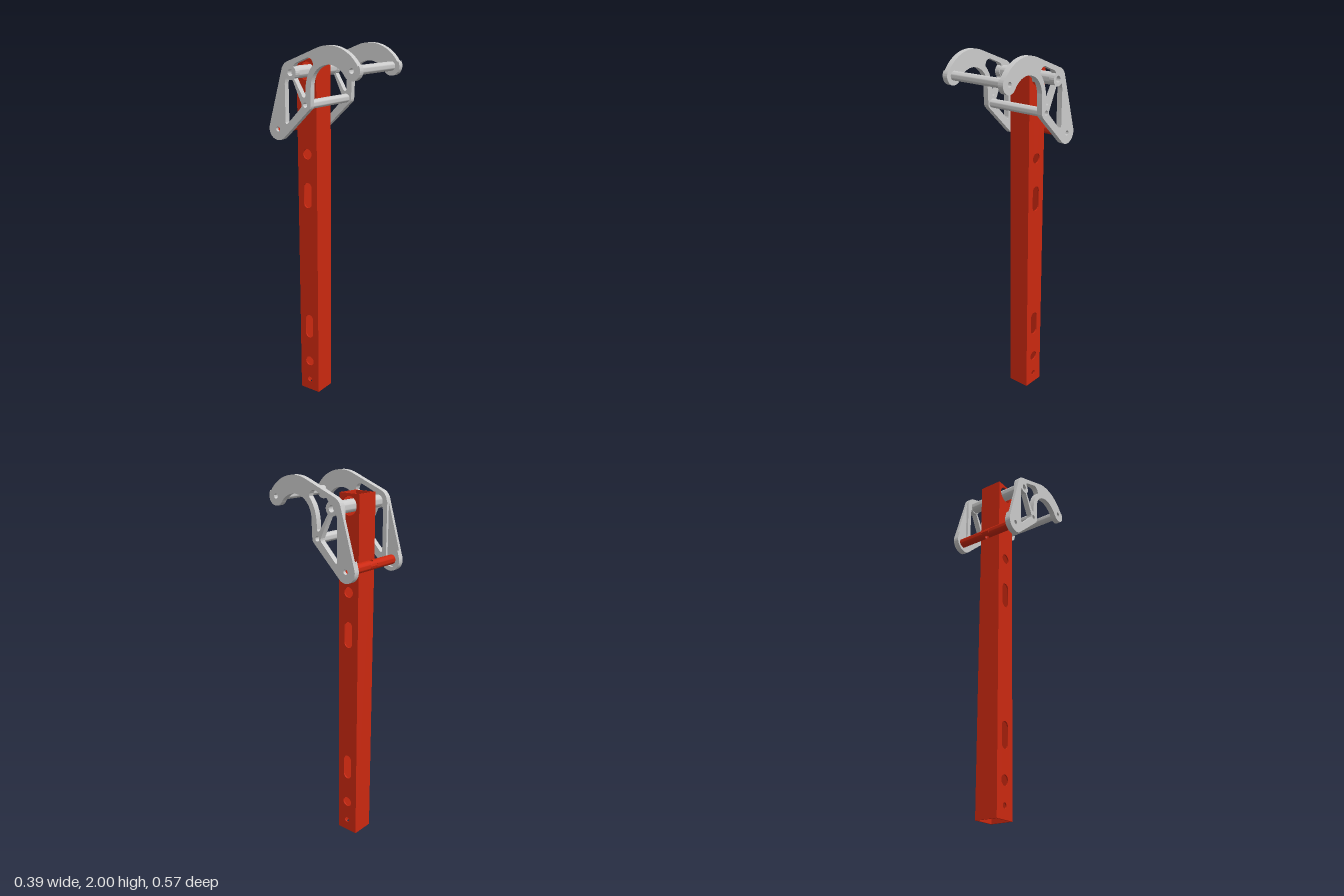
import * as THREE from 'three';
import { toCreasedNormals } from 'three/addons/utils/BufferGeometryUtils.js';
import { ParametricGeometry } from 'three/addons/geometries/ParametricGeometry.js';

const grey = new THREE.MeshStandardMaterial({ color: 0xcccccc, side: THREE.DoubleSide });
const red = new THREE.MeshStandardMaterial({ color: 0xcc2810, side: THREE.DoubleSide });

// Profile coordinates: first = distance to the back (-z), second = height (y)
const HOOK = [-0.103, 1.8], TIP = [-0.235, 1.887], PIVOT = [0.1365, 1.86];
const MID = [0.044, 1.706], FOOT = [0.225, 1.569];
const BORE = 0.013;

function mesh(name, geometry, material) {
  const m = new THREE.Mesh(geometry, material);
  m.name = name;
  return m;
}

// Extrude a side profile between x0 and x1
function slab(name, shape, x0, x1, material) {
  const g = new THREE.ExtrudeGeometry(shape, { depth: x1 - x0, bevelEnabled: false, curveSegments: 28 });
  g.rotateY(Math.PI / 2).translate(x0, 0, 0);
  return mesh(name, toCreasedNormals(g, 0.5), material);
}

function circle([x, y], r) {
  return new THREE.Path().absarc(x, y, r, 0, Math.PI * 2, false);
}

function slot(x, y0, y1, r) {
  return new THREE.Path().absarc(x, y1 - r, r, 0, Math.PI, false)
    .absarc(x, y0 + r, r, Math.PI, Math.PI * 2, false).closePath();
}

// Hook plate profile; the inner layer has an upright slot round the red rod
function plateShape(recessed) {
  const s = new THREE.Shape(), tipAngle = 2.559;
  s.absarc(...HOOK, 0.2, tipAngle, 1.21, true);
  s.absarc(...PIVOT, 0.058, 1.21, 0.288, true);
  if (recessed) {
    s.lineTo(0.198, 1.857);
    s.absarc(0.234, 1.569, 0.036, Math.PI, Math.PI * 2, false);
    s.lineTo(0.27, 1.622);
  }
  s.absarc(...FOOT, 0.058, 0.288, -2.34, true);
  s.absarc(...MID, 0.033, -2.34, -Math.PI, true);
  s.absarc(...HOOK, 0.11, 0, tipAngle, false);
  s.absarc(...TIP, 0.048, tipAngle + Math.PI, tipAngle, true);

  // Window beside the hook, and window below the pivot
  const upper = new THREE.Path();
  upper.moveTo(-0.008, 1.905);
  upper.quadraticCurveTo(-0.004, 1.94, 0.03, 1.938);
  upper.lineTo(0.108, 1.906);
  upper.absarc(...PIVOT, 0.036, 2.1, 4.0, false);
  upper.lineTo(0.062, 1.75);
  upper.quadraticCurveTo(0.05, 1.735, 0.042, 1.75);
  upper.quadraticCurveTo(0.045, 1.85, -0.008, 1.905);
  const lower = new THREE.Path();
  lower.absarc(...PIVOT, 0.036, -1.95, -0.7, false);
  lower.quadraticCurveTo(0.173, 1.82, 0.173, 1.8);
  lower.lineTo(0.173, 1.61);
  lower.quadraticCurveTo(0.17, 1.595, 0.158, 1.604);
  lower.lineTo(0.072, 1.69);
  lower.quadraticCurveTo(0.063, 1.7, 0.069, 1.714);
  lower.closePath();

  s.holes.push(upper, lower, circle(TIP, BORE), circle(PIVOT, 0.017), circle(MID, BORE));
  if (!recessed) s.holes.push(circle(FOOT, BORE));
  return s;
}

// Rod along x, hollow when a bore is given
function rod(name, [back, y], r, x0, x1, bore, material) {
  const profile = [[bore, x0], [r, x0], [r, x1], [bore, x1]];
  if (bore > 0) profile.push([bore, x0]);
  const g = new THREE.LatheGeometry(profile.map(p => new THREE.Vector2(...p)), 40);
  g.rotateZ(-Math.PI / 2);
  const m = mesh(name, toCreasedNormals(g, 0.5), material);
  m.position.set(0, y, -back);
  return m;
}

// Half of a rod's middle section with a drilled vertical hole
function drilledHalf(R, bore) {
  const rows = 8;
  const g = new ParametricGeometry((u, v, p) => {
    const a = u * Math.PI * 2, c = Math.cos(a), s = Math.sin(a);
    const k = Math.round(v * rows), t = Math.max(0, (k - 1) / (rows - 1));
    const edge = R / Math.max(Math.abs(c), Math.abs(s));
    const d = bore + (edge - bore) * t, z = d * s;
    const r = k === 0 ? bore : R;
    p.set(d * c, Math.sqrt(Math.max(0, r * r - z * z)), z);
  }, 64, rows);
  return toCreasedNormals(g, 0.5);
}

export function createModel() {
  const model = new THREE.Group();

  // Square post: two drilled side walls, plain front and back walls, open ends
  const post = new THREE.Group();
  post.name = 'post';
  const half = 0.063, wall = 0.007, front = 0.073, back = 0.2, top = 1.92;
  const side = new THREE.Shape();
  side.moveTo(front, 0).lineTo(back, 0).lineTo(back, top).lineTo(front, top).closePath();
  const mid = (front + back) / 2;
  side.holes.push(
    circle([mid, 0.066], 0.015), circle([mid, 0.187], 0.028),
    slot(mid, 0.341, 0.484, 0.026), slot(mid, 1.125, 1.267, 0.026),
    circle([mid, 1.425], 0.028), circle(PIVOT, 0.047));
  post.add(slab('postLeftWall', side, half - wall, half, red));
  post.add(slab('postRightWall', side, -half, wall - half, red));
  for (const [name, z] of [['postFrontWall', -front - wall / 2], ['postBackWall', -back + wall / 2]]) {
    const m = mesh(name, new THREE.BoxGeometry(2 * (half - wall), top, wall), red);
    m.position.set(0, top / 2, z);
    post.add(m);
  }
  model.add(post);

  // Hook plates, each an outer layer and a recessed inner layer
  const inner = 0.163, floor = 0.177, outer = 0.194;
  for (const [name, sign] of [['leftHookPlate', 1], ['rightHookPlate', -1]]) {
    const plate = new THREE.Group();
    plate.name = name;
    const layer = (part, a, b, recessed) => plate.add(
      slab(part, plateShape(recessed), Math.min(sign * a, sign * b), Math.max(sign * a, sign * b), grey));
    layer('outerLayer', floor, outer, false);
    layer('innerLayer', inner, floor, true);
    model.add(plate);
  }

  // Grey cross rods
  model.add(rod('hookRod', TIP, 0.0235, -inner, inner, BORE, grey));
  model.add(rod('middleRod', MID, 0.0235, -inner, inner, BORE, grey));
  model.add(rod('pivotRod', PIVOT, 0.032, -inner, inner, 0, grey));

  // Red locking rod with a vertical hole through its middle
  const R = 0.025;
  const lock = new THREE.Group();
  lock.name = 'lockingRod';
  lock.add(rod('lockingRodLeft', FOOT, R, R, 0.176, BORE, red));
  lock.add(rod('lockingRodRight', FOOT, R, -0.176, -R, BORE, red));
  for (const turn of [0, Math.PI]) {
    const m = mesh('lockingRodMiddle', drilledHalf(R, BORE), red);
    m.position.set(0, FOOT[1], -FOOT[0]);
    m.rotation.x = turn;
    lock.add(m);
  }
  model.add(lock);

  return model;
}
